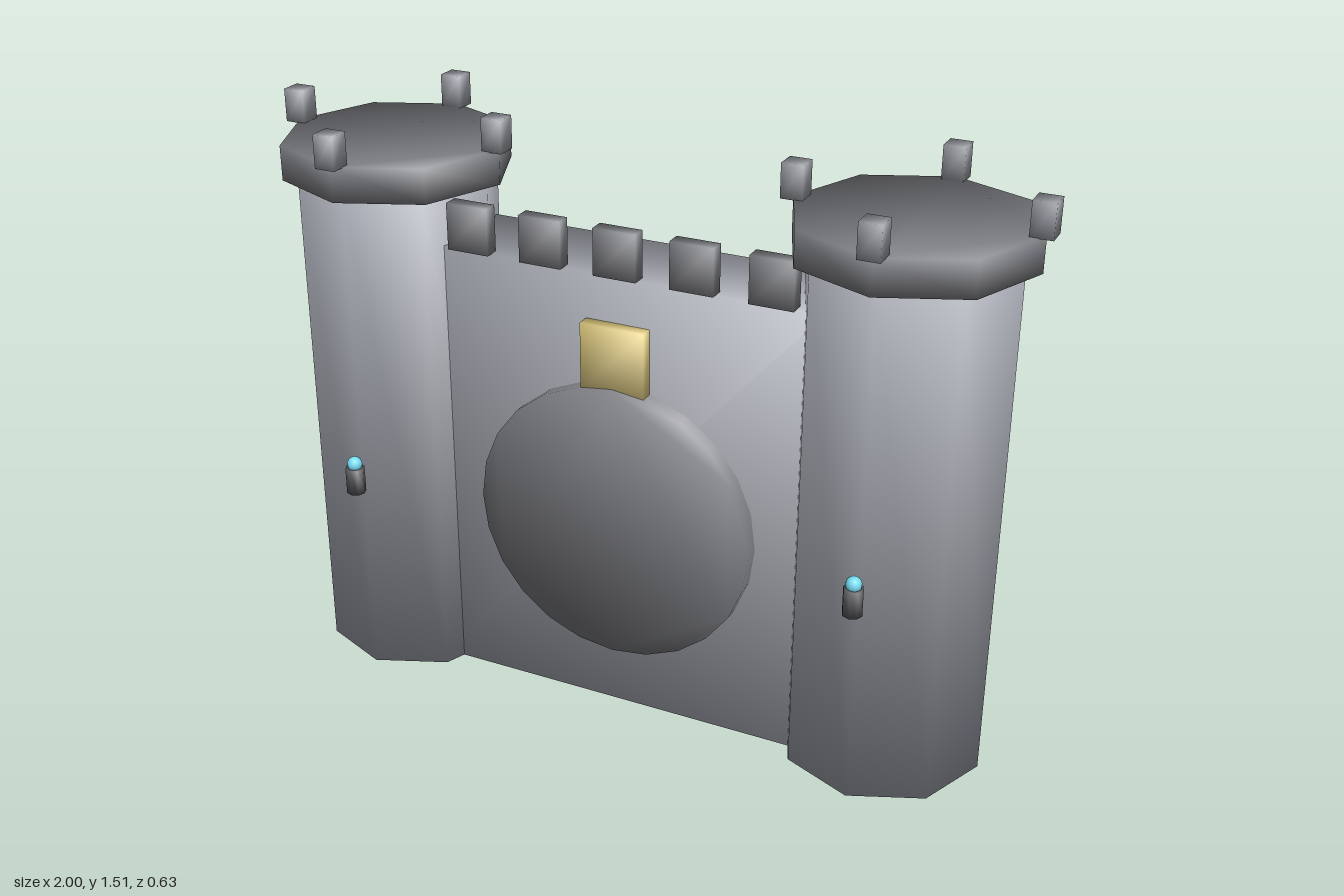
import * as THREE from 'three';
import { mergeVertices } from 'three/addons/utils/BufferGeometryUtils.js';

const paint = (color) => new THREE.MeshStandardMaterial({ color });
const stone = paint(0xa4a7b0);
const darkStone = paint(0x7c7d82);
const merlonStone = paint(0x94969d);
const iron = paint(0x58585c);
const gold = paint(0xe2cd80);
const cyan = paint(0x78dcf4);

// Weld the corners and average the face normals by corner angle, so shading runs softly over edges
function weld(geometry) {
  geometry.deleteAttribute('uv');
  geometry.deleteAttribute('normal');
  const welded = mergeVertices(geometry, 1e-4);
  const { position } = welded.attributes;
  const index = welded.index.array;
  const point = (i) => new THREE.Vector3().fromBufferAttribute(position, i);
  const normals = Array.from({ length: position.count }, () => new THREE.Vector3());
  for (let f = 0; f < index.length; f += 3) {
    for (let k = 0; k < 3; k++) {
      const corner = index[f + k];
      const p = point(corner);
      const u = point(index[f + ((k + 1) % 3)]).sub(p);
      const v = point(index[f + ((k + 2) % 3)]).sub(p);
      const angle = u.angleTo(v);
      normals[corner].addScaledVector(u.cross(v).normalize(), angle);
    }
  }
  const flat = normals.flatMap((n) => n.normalize().toArray());
  welded.setAttribute('normal', new THREE.Float32BufferAttribute(flat, 3));
  return welded;
}

function add(parent, name, geometry, x, y, z, material) {
  const mesh = new THREE.Mesh(weld(geometry), material);
  mesh.name = name;
  mesh.position.set(x, y, z);
  parent.add(mesh);
}

// Regular prism along z, centred
function prism(radius, depth, sides) {
  const points = Array.from({ length: sides }, (_, i) => {
    const a = (i / sides) * Math.PI * 2;
    return new THREE.Vector2(Math.cos(a) * radius, Math.sin(a) * radius);
  });
  return new THREE.ExtrudeGeometry(new THREE.Shape(points), { depth, bevelEnabled: false })
    .translate(0, 0, -depth / 2);
}

const column = (radius, height, sides) => prism(radius, height, sides).rotateX(-Math.PI / 2);

function createTower(name, x) {
  const tower = new THREE.Group();
  tower.name = name;
  tower.position.x = x;
  add(tower, 'towerShaft', column(0.257, 1.36, 8), 0, 0.68, 0, stone);
  add(tower, 'towerRim', column(0.295, 0.09, 8), 0, 1.377, 0, darkStone);

  // Four small merlons on the corners of the rim
  for (let i = 0; i < 4; i++) {
    const a = (i * Math.PI) / 2;
    add(tower, 'towerMerlon', new THREE.BoxGeometry(0.055, 0.085, 0.055),
      Math.sin(a) * 0.2895, 1.463, Math.cos(a) * 0.2895, merlonStone);
  }

  // Torch on the front corner
  add(tower, 'torchHolder', column(0.025, 0.07, 8), 0, 0.575, 0.287, iron);
  add(tower, 'torchFlame', new THREE.SphereGeometry(0.02, 12, 8), 0, 0.62, 0.287, cyan);
  return tower;
}

export function createModel() {
  const gate = new THREE.Group();
  gate.name = 'castleGate';

  gate.add(createTower('leftTower', 0.683), createTower('rightTower', -0.683));

  // Curtain wall between the towers
  add(gate, 'wall', new THREE.BoxGeometry(1.05, 1.2, 0.256), 0, 0.6, 0, stone);
  for (let i = -2; i <= 2; i++) {
    add(gate, 'wallMerlon', new THREE.BoxGeometry(0.112, 0.12, 0.04), i * 0.2, 1.26, 0.126, darkStone);
  }

  // Round gate running through the wall
  add(gate, 'roundGate', prism(0.372, 0.342, 24), 0, 0.548, -0.003, darkStone);

  // Gold plaque above the gate
  add(gate, 'plaque', new THREE.BoxGeometry(0.17, 0.18, 0.04), 0, 0.99, 0.142, gold);
  return gate;
}
